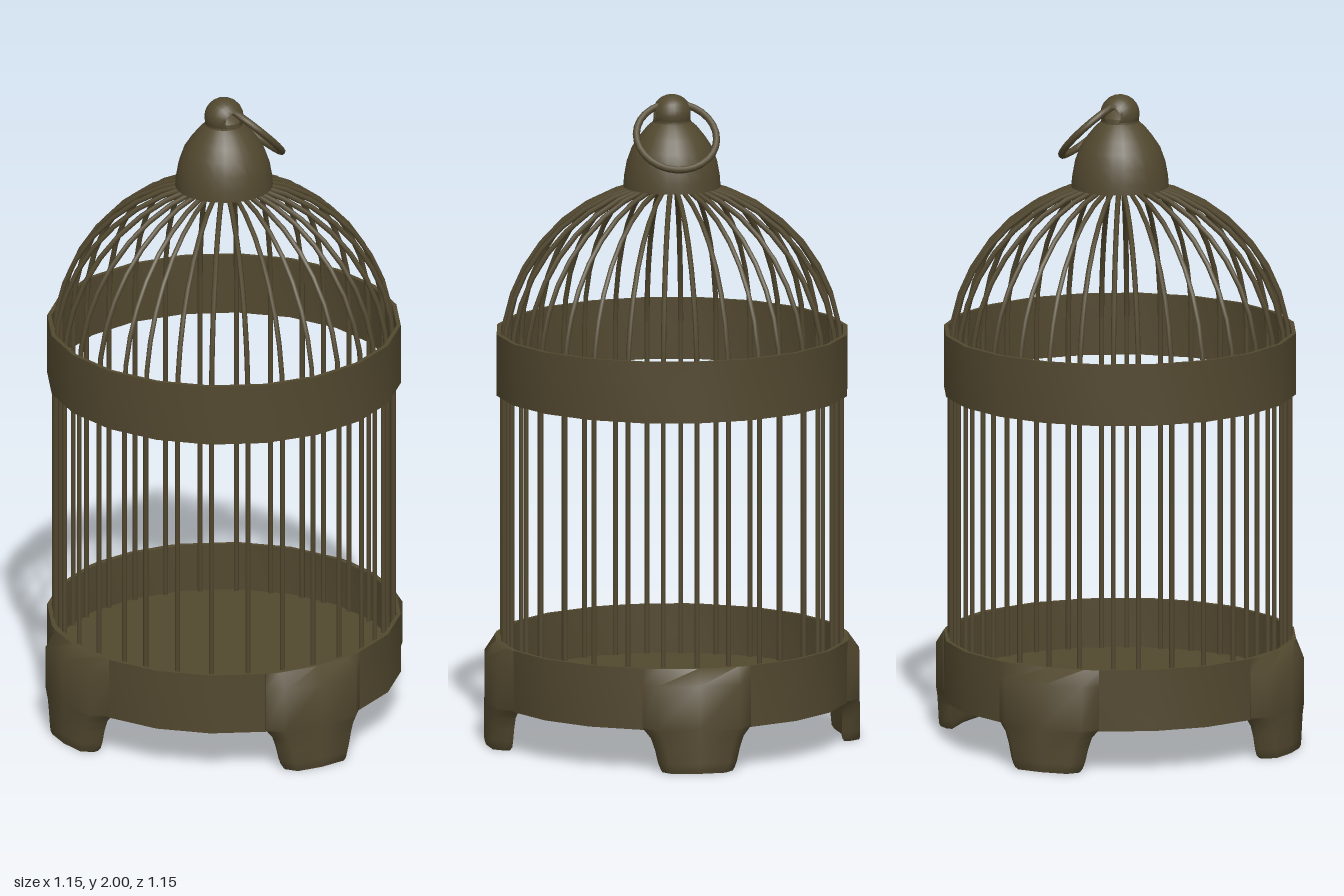
import * as THREE from 'three';
import { toCreasedNormals } from 'three/addons/utils/BufferGeometryUtils.js';

const bronze = new THREE.MeshStandardMaterial({ color: 0x52482f });
bronze.name = 'dark bronze';

const SIDES = 20, BAR_R = 0.517, BAR_THICK = 0.008, SPRING_Y = 1.2, DOME_H = 0.526;
// Bar angles within one quarter turn, in degrees
const BAR_ANGLES = [0, 11, 22.5, 31, 42.5, 54.2, 66.5, 78.6];

function mesh(name, geometry) {
  const m = new THREE.Mesh(geometry, bronze);
  m.name = name;
  return m;
}

function lathe(points, sides) {
  const g = new THREE.LatheGeometry(points.map(([r, y]) => new THREE.Vector2(r, y)), sides);
  return toCreasedNormals(g, 0.7);
}

// Foot: a bulging curved panel lofted from top to bottom, narrowing below the tray.
// Rows are [y, half angle in degrees, bulge, inner radius].
function footGeometry() {
  const rows = [
    [0.32, 18, 0, 0.53], [0.27, 18, 1, 0.53], [0.135, 18, 1, 0.53], [0.13, 17.5, 1, 0.52],
    [0.105, 15.3, 1, 0.52], [0.07, 14, 1, 0.52], [0.03, 13, 1, 0.52], [0.01, 12.2, 1, 0.52], [0, 11.5, 0.9, 0.525],
  ];
  const outer = [[-1, 0], [-0.72, 0.032], [0, 0.035], [0.72, 0.032], [1, 0]];
  const inner = [1, 0, -1];
  const n = outer.length + inner.length;
  const pos = [], idx = [];
  for (const [y, deg, bulge, rin] of rows) {
    const half = THREE.MathUtils.degToRad(deg);
    const put = (f, r) => pos.push(Math.sin(f * half) * r, y, Math.cos(f * half) * r);
    outer.forEach(([f, b]) => put(f, 0.541 + b * bulge));
    inner.forEach((f) => put(f, rin));
  }
  for (let i = 0; i < rows.length - 1; i++) {
    for (let j = 0; j < n; j++) {
      const a = i * n + j, b = i * n + (j + 1) % n;
      idx.push(a, a + n, b, b, a + n, b + n);
    }
  }
  // top and bottom caps, joining the outer edge to the inner edge
  const last = (rows.length - 1) * n;
  const strip = [[0, 1, 7], [1, 2, 7], [2, 6, 7], [2, 3, 6], [3, 5, 6], [3, 4, 5]];
  for (const [a, b, c] of strip) {
    idx.push(a, b, c, last + a, last + c, last + b);
  }
  const g = new THREE.BufferGeometry();
  g.setAttribute('position', new THREE.Float32BufferAttribute(pos, 3));
  g.setIndex(idx);
  return toCreasedNormals(g, 1.0);
}

// Upper part of a bar, bending over to the cap.
function domeBarGeometry() {
  const pts = [];
  for (let i = 0; i <= 16; i++) {
    const a = (i / 16) * 1.37;
    pts.push(new THREE.Vector3(0, SPRING_Y + Math.sin(a) * DOME_H, Math.cos(a) * BAR_R));
  }
  return new THREE.TubeGeometry(new THREE.CatmullRomCurve3(pts), 8, BAR_THICK, 6);
}

export function createModel() {
  const group = new THREE.Group();
  group.name = 'birdcage';

  // Tray with floor and rim
  group.add(mesh('baseTray', lathe(
    [[0, 0.13], [0.54, 0.13], [0.54, 0.32], [0.527, 0.32], [0.527, 0.17], [0, 0.17]], SIDES)));

  // Band around the bars
  group.add(mesh('upperBand', lathe(
    [[0.527, 1.08], [0.54, 1.08], [0.54, 1.27], [0.527, 1.27], [0.527, 1.08]], SIDES)));

  // Four identical quarters, each with one foot and its bars
  const foot = footGeometry();
  const straight = new THREE.CylinderGeometry(BAR_THICK, BAR_THICK, SPRING_Y - 0.16, 6, 1, true);
  straight.translate(0, (SPRING_Y + 0.16) / 2, BAR_R);
  const dome = domeBarGeometry();
  for (let q = 0; q < 4; q++) {
    const quarter = new THREE.Group();
    quarter.name = 'quarter';
    quarter.rotation.y = q * Math.PI / 2;
    quarter.add(mesh('foot', foot));
    for (const deg of BAR_ANGLES) {
      const bar = new THREE.Group();
      bar.name = 'bar';
      bar.add(mesh('straightBar', straight), mesh('domeBar', dome));
      bar.rotation.y = THREE.MathUtils.degToRad(deg);
      quarter.add(bar);
    }
    group.add(quarter);
  }

  // Hollow bell-shaped cap with neck and the seat of the ball
  group.add(mesh('cap', lathe([
    [0, 1.85], [0.07, 1.83], [0.11, 1.77], [0.125, 1.716], [0.149, 1.716], [0.147, 1.745], [0.139, 1.79],
    [0.123, 1.835], [0.1, 1.87], [0.076, 1.9], [0.058, 1.916], [0.056, 1.932], [0.03, 1.955], [0, 1.955]], 24)));

  // Pierced ball, its hole running front to back
  const ballProfile = [];
  for (let i = 0; i <= 10; i++) {
    const a = THREE.MathUtils.lerp(-1.1, 1.1, i / 10);
    ballProfile.push([Math.cos(a) * 0.06, Math.sin(a) * 0.06]);
  }
  ballProfile.push(ballProfile[0]);
  const ball = mesh('ball', lathe(ballProfile, 20));
  ball.rotation.x = Math.PI / 2;
  ball.position.y = 1.94;
  group.add(ball);

  // Hanging ring, dropped to one side
  const ring = mesh('hangingRing', new THREE.TorusGeometry(0.123, 0.011, 8, 28));
  ring.quaternion.setFromUnitVectors(new THREE.Vector3(0, 0, 1), new THREE.Vector3(1, 1, 0).normalize());
  ring.position.set(0.092, 1.885, 0);
  group.add(ring);

  return group;
}
